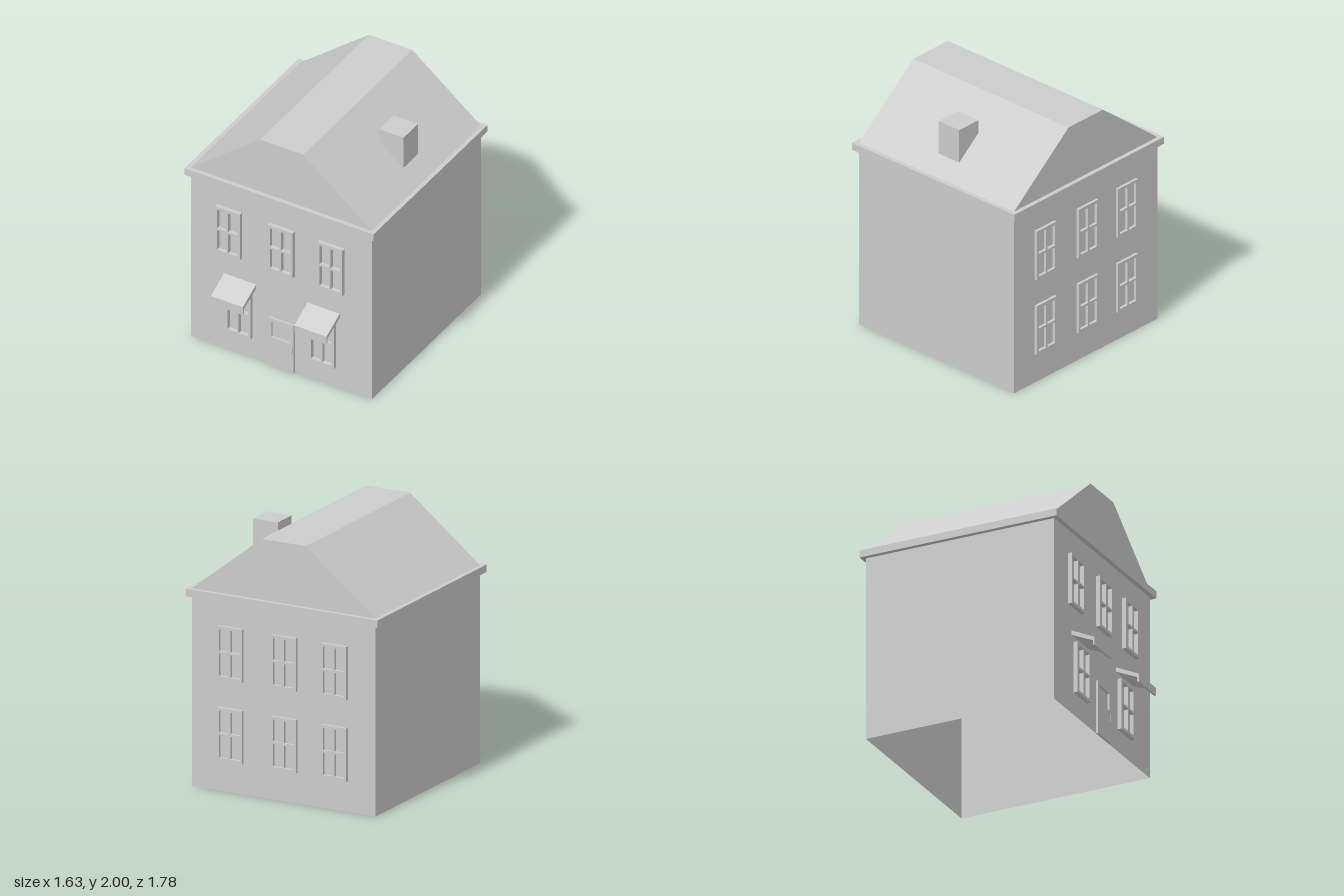
import * as THREE from 'three';

const FRONT = 0.703, BACK = -0.857;
const MID = (FRONT + BACK) / 2, DEPTH = FRONT - BACK;

const grey = new THREE.MeshStandardMaterial({ color: 0xcccccc, flatShading: true });
const greyThin = new THREE.MeshStandardMaterial({ color: 0xcccccc, flatShading: true, side: THREE.DoubleSide });

function add(parent, name, geometry, x = 0, y = 0, z = 0, material = grey) {
  const mesh = new THREE.Mesh(geometry, material);
  mesh.name = name;
  mesh.position.set(x, y, z);
  parent.add(mesh);
  return mesh;
}

const polygon = (points) => new THREE.Shape(points.map(([x, y]) => new THREE.Vector2(x, y)));

const rect = (x0, y0, x1, y1) => polygon([[x0, y0], [x1, y0], [x1, y1], [x0, y1]]);

// Rectangle with slightly rounded corners
function softRect(x0, y0, x1, y1, r = 0.006) {
  const p = new THREE.Path();
  p.absarc(x1 - r, y1 - r, r, 0, Math.PI / 2);
  p.absarc(x0 + r, y1 - r, r, Math.PI / 2, Math.PI);
  p.absarc(x0 + r, y0 + r, r, Math.PI, Math.PI * 1.5);
  p.absarc(x1 - r, y0 + r, r, Math.PI * 1.5, Math.PI * 2);
  p.closePath();
  return p;
}

const extrude = (shape, depth) =>
  new THREE.ExtrudeGeometry(shape, { depth, bevelEnabled: false, curveSegments: 3 });

// Four-pane window frame, origin at its bottom centre
function windowGeometry(depth) {
  const shape = rect(-0.108, 0, 0.108, 0.412);
  for (const [x0, x1] of [[-0.088, -0.008], [0.008, 0.088]])
    for (const [y0, y1] of [[0.024, 0.2], [0.217, 0.388]])
      shape.holes.push(softRect(x0, y0, x1, y1));
  return extrude(shape, depth);
}

export function createModel() {
  const house = new THREE.Group();
  house.name = 'house';

  // Hollow walls: a box without its top and bottom faces
  const walls = new THREE.BoxGeometry(1.56, 1.475, DEPTH);
  const index = Array.from(walls.index.array);
  walls.setIndex([...index.slice(0, 12), ...index.slice(24)]);
  walls.clearGroups();
  add(house, 'walls', walls, 0, 0.7375, MID, greyThin);

  // Eave slab and flat-topped roof
  add(house, 'eaves', new THREE.BoxGeometry(1.632, 0.058, 1.632), 0, 1.501, -0.076);
  const gable = polygon([[-0.783, 1.528], [0.783, 1.528], [0.187, 2], [-0.187, 2]]);
  add(house, 'roof', extrude(gable, DEPTH), 0, 0, BACK);

  // Chimney, sunk into the roof slope
  add(house, 'chimney', new THREE.BoxGeometry(0.21, 0.31, 0.207), 0.54, 1.755, -0.077);

  // Front windows
  const frontWindow = windowGeometry(0.033);
  for (const x of [-0.448, 0.008, 0.437])
    add(house, 'upperFrontWindow', frontWindow, x, 0.868, FRONT);

  // Ground floor windows, each under an awning
  const awningProfile = polygon([
    [0.68, 0.685], [0.68, 0.647], [0.879, 0.557], [0.879, 0.518], [0.893, 0.518], [0.893, 0.582],
  ]);
  const awning = extrude(awningProfile, 0.278);
  awning.rotateY(-Math.PI / 2); // profile x becomes z
  awning.translate(0.139, 0, 0);
  for (const x of [-0.357, 0.365]) {
    add(house, 'lowerFrontWindow', frontWindow, x, 0.18, FRONT);
    add(house, 'awning', awning, x, 0, 0, greyThin);
  }

  // Back windows on both floors
  const backWindow = windowGeometry(0.023);
  for (const y of [0.238, 0.868])
    for (const x of [-0.437, -0.008, 0.448])
      add(house, 'backWindow', backWindow, x, y, BACK).rotation.y = Math.PI;

  // Door with a recessed light and a small handle
  const door = new THREE.Group();
  door.name = 'door';
  const leaf = rect(-0.1, 0, 0.117, 0.43);
  leaf.holes.push(softRect(-0.077, 0.26, 0.087, 0.4));
  add(door, 'doorLeaf', extrude(leaf, 0.018), 0, 0, FRONT);
  add(door, 'doorHandle', new THREE.BoxGeometry(0.01, 0.06, 0.008), 0.1, 0.2, FRONT + 0.02);
  house.add(door);

  return house;
}
